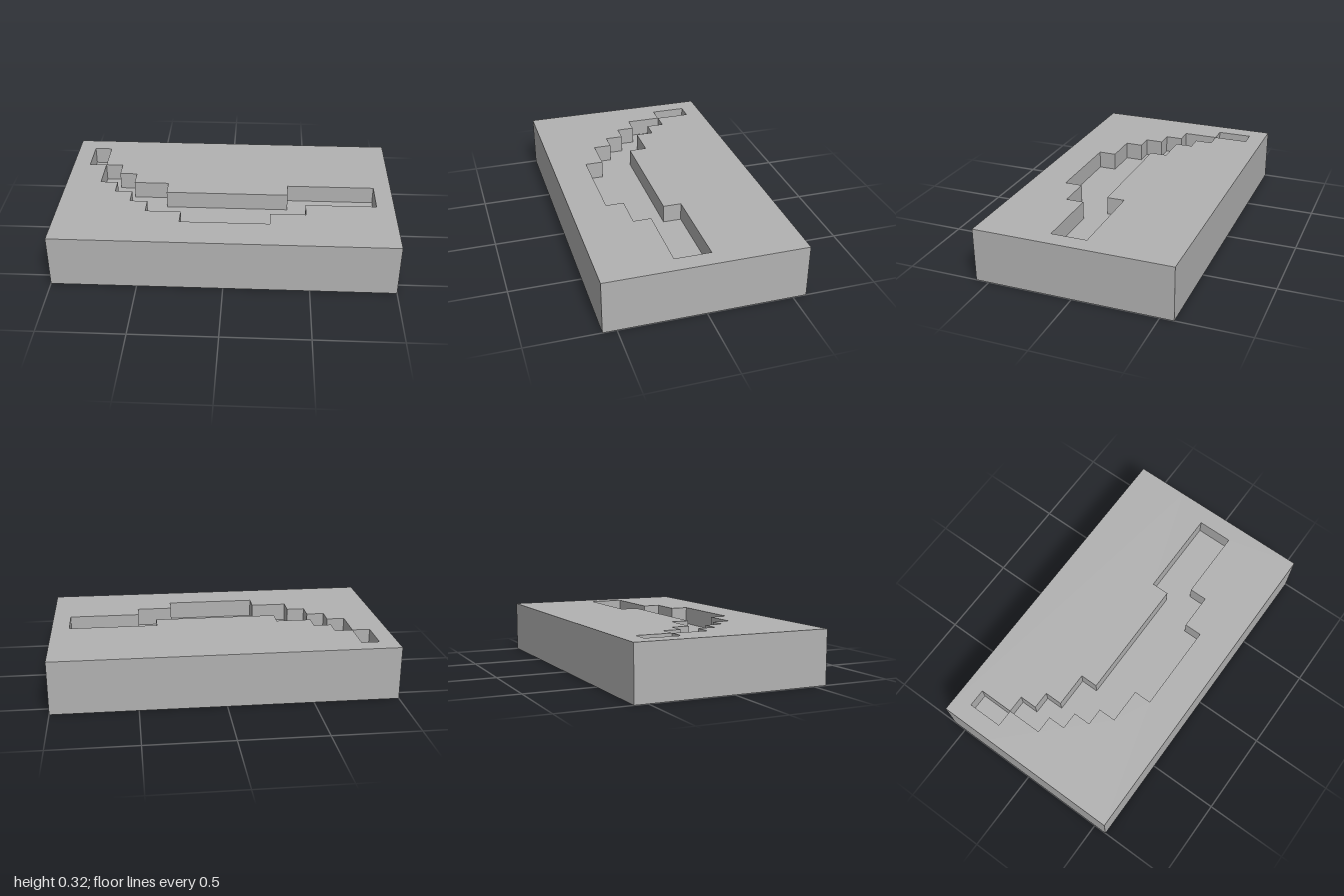
import * as THREE from 'three';

const U = 2 / 19; // grid unit: the slab is 19 x 3 x 11 units

// Outlines as [x, z] in units, clockwise seen from above
const outer = [[-9.5, -5.5], [9.5, -5.5], [9.5, 5.5], [-9.5, 5.5]];
const smallPocket = [[-8.5, -4.5], [-7.5, -4.5], [-7.5, -2.5], [-8.5, -2.5]];
const mainPocket = [
  [-6.5, -2.5], [-6.5, -1.5], [-5.5, -1.5], [-5.5, -0.5], [-3.5, -0.5], [-3.5, 0.5],
  [3.5, 0.5], [3.5, -0.5], [8.5, -0.5], [8.5, 1.5], [4.5, 1.5], [4.5, 2.5],
  [2.5, 2.5], [2.5, 3.5], [-2.5, 3.5], [-2.5, 2.5], [-4.5, 2.5], [-4.5, 1.5],
  [-5.5, 1.5], [-5.5, 0.5], [-6.5, 0.5], [-6.5, -0.5], [-7.5, -0.5], [-7.5, -2.5],
];

// Horizontal sheet facing up at height y
function sheet(points, y) {
  const shape = new THREE.Shape(points.map(([x, z]) => new THREE.Vector2(x * U, -z * U)));
  return new THREE.ShapeGeometry(shape).rotateX(-Math.PI / 2).translate(0, y * U, 0);
}

// Closed band of upright walls; a clockwise outline faces inward
function walls(points, y0, y1) {
  const pos = [];
  points.forEach(([ax, az], i) => {
    const [bx, bz] = points[(i + 1) % points.length];
    pos.push(ax, y0, az, bx, y0, bz, bx, y1, bz, ax, y0, az, bx, y1, bz, ax, y1, az);
  });
  const g = new THREE.BufferGeometry();
  g.setAttribute('position', new THREE.Float32BufferAttribute(pos.map((v) => v * U), 3));
  g.computeVertexNormals();
  return g;
}

export function createModel() {
  const gray = new THREE.MeshStandardMaterial({ color: 0xb2b2b2, side: THREE.DoubleSide });
  gray.name = 'gray';
  const group = new THREE.Group();
  group.name = 'recessedSlab';
  const add = (name, geometry) => {
    const mesh = new THREE.Mesh(geometry, gray);
    mesh.name = name;
    group.add(mesh);
  };

  // Outer walls, open underneath
  add('outerWalls', walls([...outer].reverse(), 0, 3));

  // Top, split where the two pockets meet at a corner
  add('topBack', sheet([
    [-9.5, -5.5], [9.5, -5.5], [9.5, -2.5], [-7.5, -2.5],
    [-7.5, -4.5], [-8.5, -4.5], [-8.5, -2.5], [-9.5, -2.5],
  ], 3));
  add('topFront', sheet([
    [9.5, -2.5], [9.5, 5.5], [-9.5, 5.5], [-9.5, -2.5], ...[...mainPocket].reverse(),
  ], 3));

  // Sunken pockets, one unit deep
  for (const [name, outline] of [['smallPocket', smallPocket], ['mainPocket', mainPocket]]) {
    add(name + 'Walls', walls(outline, 2, 3));
    add(name + 'Floor', sheet(outline, 2));
  }
  return group;
}
